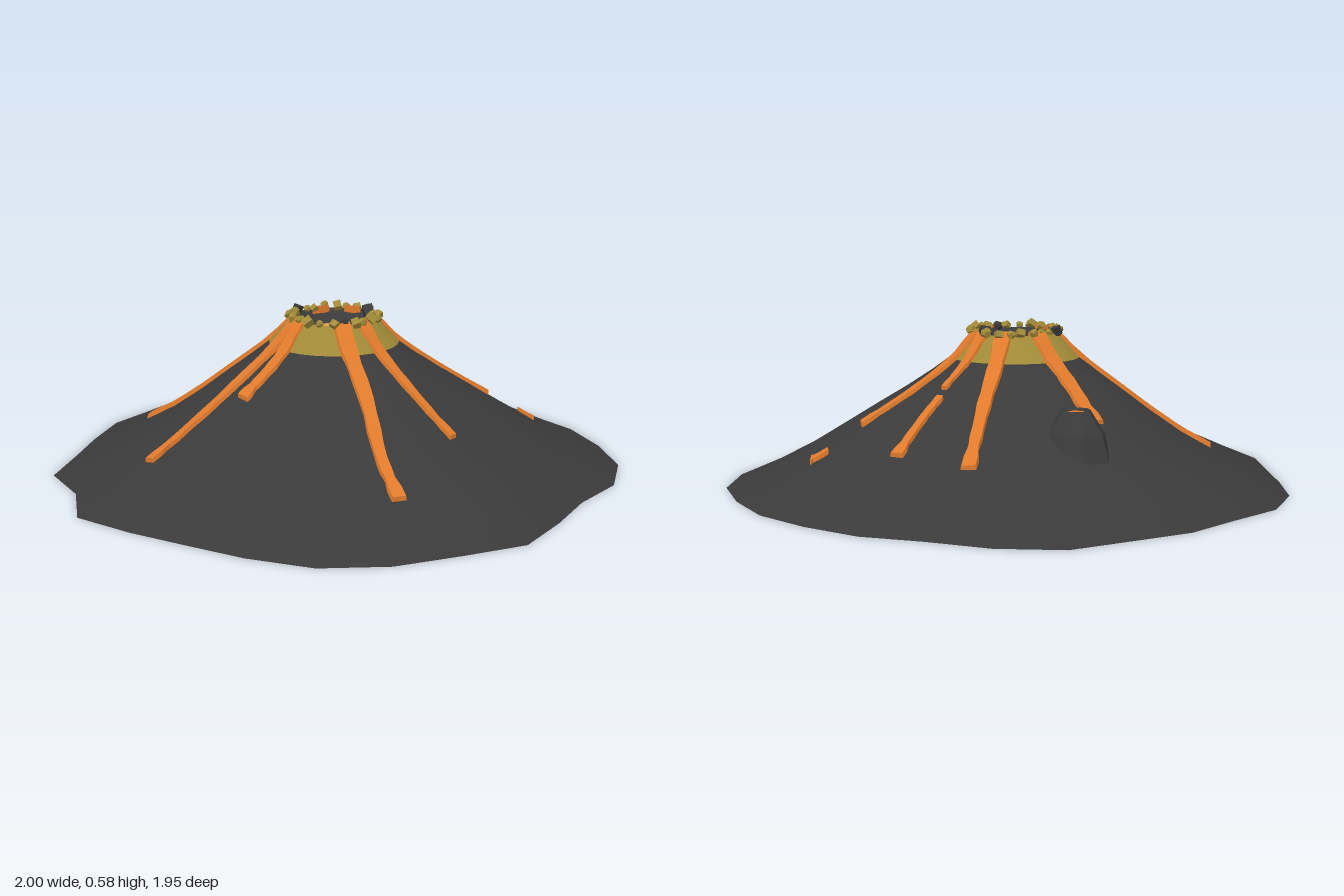
import * as THREE from 'three';

const mat = (name, color) => {
  const m = new THREE.MeshStandardMaterial({ color });
  m.name = name;
  return m;
};

// Small seeded generator for rock variation
function seeded(seed) {
  return () => {
    seed = (seed * 16807) % 2147483647;
    return seed / 2147483647;
  };
}

// Joins closed rings of points; rows run from the centre outwards so faces look up
function loft(rows, flat = false) {
  const n = rows[0].length, index = [];
  for (let r = 0; r < rows.length - 1; r++) {
    for (let i = 0; i < n; i++) {
      const j = (i + 1) % n, a = r * n + i, b = r * n + j;
      index.push(a, b + n, a + n, a, b, b + n);
    }
  }
  let g = new THREE.BufferGeometry();
  g.setAttribute('position', new THREE.Float32BufferAttribute(rows.flat(2), 3));
  g.setIndex(index);
  if (flat) g = g.toNonIndexed();
  g.computeVertexNormals();
  return g;
}

const SEG = 28;
const outline = [0.96, 0.985, 1.044, 1.02, 1.04, 1.04, 0.997, 0.97, 0.99, 1.04, 0.966, 1.02, 0.965, 0.965,
  1, 1.005, 0.964, 0.98, 0.98, 1.03, 1.003, 0.96, 0.985, 0.995, 1.02, 1.027, 1.045, 1.024];
const profile = [[0.155, 0.545], [0.235, 0.455], [0.3, 0.405], [0.4, 0.332], [0.5, 0.258],
  [0.62, 0.178], [0.74, 0.117], [0.86, 0.062], [1, 0]];

// Low ridge on one flank
function ridge(angle, r) {
  const da = Math.atan2(Math.sin(angle + 0.42), Math.cos(angle + 0.42));
  return 0.035 * Math.exp(-((da / 0.4) ** 2) - ((r - 0.58) / 0.17) ** 2);
}

// Height of the slope at any point
function heightAt(x, z) {
  const a = Math.atan2(z, x), d = Math.hypot(x, z);
  const f = ((a / (2 * Math.PI) + 1) % 1) * SEG, i = Math.floor(f) % SEG;
  const k = THREE.MathUtils.lerp(outline[i], outline[(i + 1) % SEG], f - Math.floor(f));
  const r = d / (1 + (k - 1) * d * d);
  if (r <= profile[0][0]) return profile[0][1];
  for (let p = 1; p < profile.length; p++) {
    const [r0, y0] = profile[p - 1], [r1, y1] = profile[p];
    if (r <= r1) return y0 + (y1 - y0) * (r - r0) / (r1 - r0) + ridge(a, r);
  }
  return 0;
}

const ring = (fn) => Array.from({ length: SEG }, (_, i) => fn(i / SEG * Math.PI * 2, i));
const circle = (r, y) => ring(a => [r * Math.cos(a), y, r * Math.sin(a)]);

// Lava ribbon draped on the slope
function flowGeometry(points, w0, w1) {
  const curve = new THREE.CatmullRomCurve3(points.map(([x, z]) => new THREE.Vector3(x, 0, z)));
  const rows = [], N = 12;
  for (let i = 0; i <= N; i++) {
    const t = i / N, p = curve.getPoint(t), d = curve.getTangent(t);
    const bulb = i >= N - 1 ? 1.4 : 1;
    const w = (w0 + (w1 - w0) * t) * bulb * (1 + 0.08 * Math.sin(i * 2.3)) / 2;
    const at = (s, lift) => {
      const x = p.x - d.z * s, z = p.z + d.x * s;
      return [x, heightAt(x, z) + lift, z];
    };
    const row = [at(-w, -0.015), at(-w * 0.8, 0.014), at(w * 0.8, 0.014), at(w, -0.015)];
    const cap = row.map(() => at(0, 0));
    if (i === 0) rows.push(cap);
    rows.push(row);
    if (i === N) rows.push(cap);
  }
  return loft(rows, true);
}

export function createModel() {
  const basalt = mat('basalt', 0x3a3a3a);
  const sulphur = mat('sulphur', 0xa08a38);
  const flowLava = mat('flowing lava', 0xe07a2c);
  const poolLava = mat('pool lava', 0xdc9c48);
  const model = new THREE.Group();
  model.name = 'volcano';
  const add = (name, geometry, material, parent = model) => {
    const m = new THREE.Mesh(geometry, material);
    m.name = name;
    parent.add(m);
    return m;
  };

  // Main slope, with a sulphur band round the summit
  const slope = loft(profile.map(([r, y]) => ring((a, i) => {
    const s = r * (1 + (outline[i] - 1) * r * r);
    return [s * Math.cos(a), r < 1 && r > 0.25 ? y + ridge(a, r) : y, s * Math.sin(a)];
  })));
  slope.addGroup(0, SEG * 6, 0);
  slope.addGroup(SEG * 6, Infinity, 1);
  add('slope', slope, [sulphur, basalt]);

  // Flat underside
  add('underside', loft([
    ring((a, i) => [outline[i] * Math.cos(a), 0, outline[i] * Math.sin(a)]),
    circle(0, 0),
  ]), basalt);

  // Crater bowl and lava pool
  add('craterWall', loft([circle(0.09, 0.485), circle(0.155, 0.545)]), basalt);
  const pool = add('lavaPool', new THREE.CircleGeometry(0.098, 24).rotateX(-Math.PI / 2), poolLava);
  pool.position.y = 0.499;

  // Lava flows: path in x and z, start width, end width
  const flows = [
    [[[0, -0.14], [-0.01, -0.4], [-0.035, -0.64]], 0.07, 0.04],
    [[[0.08, -0.13], [0.12, -0.22], [0.165, -0.31]], 0.06, 0.02],
    [[[0.165, -0.35], [0.2, -0.43], [0.24, -0.575]], 0.035, 0.04],
    [[[0.12, -0.09], [0.3, -0.24], [0.46, -0.35]], 0.065, 0.025],
    [[[0.545, -0.45], [0.57, -0.465], [0.6, -0.475]], 0.03, 0.04],
    [[[0.14, 0.05], [0.34, 0.11], [0.55, 0.16]], 0.06, 0.025],
    [[[0.1, 0.12], [0.28, 0.28], [0.42, 0.44], [0.54, 0.55]], 0.07, 0.038],
    [[[-0.06, 0.14], [-0.09, 0.28], [-0.14, 0.4]], 0.06, 0.045],
    [[[-0.09, 0.12], [-0.23, 0.35], [-0.32, 0.5], [-0.37, 0.64]], 0.065, 0.035],
    [[[-0.14, 0.045], [-0.38, 0.115], [-0.52, 0.16], [-0.69, 0.19]], 0.07, 0.035],
    [[[-0.1, -0.09], [-0.25, -0.19], [-0.37, -0.3]], 0.07, 0.06],
  ];
  flows.forEach(([path, w0, w1], i) => add(`lavaFlow${i + 1}`, flowGeometry(path, w0, w1), flowLava));

  // Small side cone with its own vent
  const vent = new THREE.Group();
  vent.name = 'sideCone';
  vent.position.set(-0.335, 0.17, -0.39);
  model.add(vent);
  const wobble = [1, 1.08, 0.94, 1.05, 0.98, 1.08, 1, 0.95, 1.04];
  const ventRing = (r, y, lean) => wobble.map((k, i) => {
    const a = i / wobble.length * Math.PI * 2;
    return [r * k * Math.cos(a) + lean * 0.5, y, r * k * Math.sin(a) + lean];
  });
  add('sideConeSlope', loft([
    ventRing(0.03, 0.145, 0.025), ventRing(0.05, 0.16, 0.025),
    ventRing(0.095, 0.085, 0.01), ventRing(0.118, 0, 0),
  ], true), basalt, vent);
  const ventPool = add('sideConeLava', new THREE.CircleGeometry(0.036, 10).rotateX(-Math.PI / 2), flowLava, vent);
  ventPool.position.set(0.0125, 0.151, 0.025);

  // Loose rocks round the crater rim
  const rand = seeded(41);
  const COUNT = 24, darkRocks = [3, 12, 20];
  for (let i = 0; i < COUNT; i++) {
    const a = (i + 0.6 * rand()) / COUNT * Math.PI * 2;
    const r = 0.14 + 0.025 * rand(), size = 0.014 + 0.008 * rand();
    const dark = darkRocks.includes(i);
    const geometry = i % 2 ? new THREE.DodecahedronGeometry(size) : new THREE.BoxGeometry(size * 1.7, size * 1.3, size * 1.5);
    const rock = add(`rimRock${i + 1}`, geometry, dark ? basalt : sulphur);
    rock.position.set(r * Math.cos(a), 0.549 + 0.006 * rand(), r * Math.sin(a));
    rock.rotation.set(rand() * 0.8, rand() * 3, rand() * 0.8);
    rock.scale.setScalar(dark ? 1.2 : 1);
  }
  return model;
}
